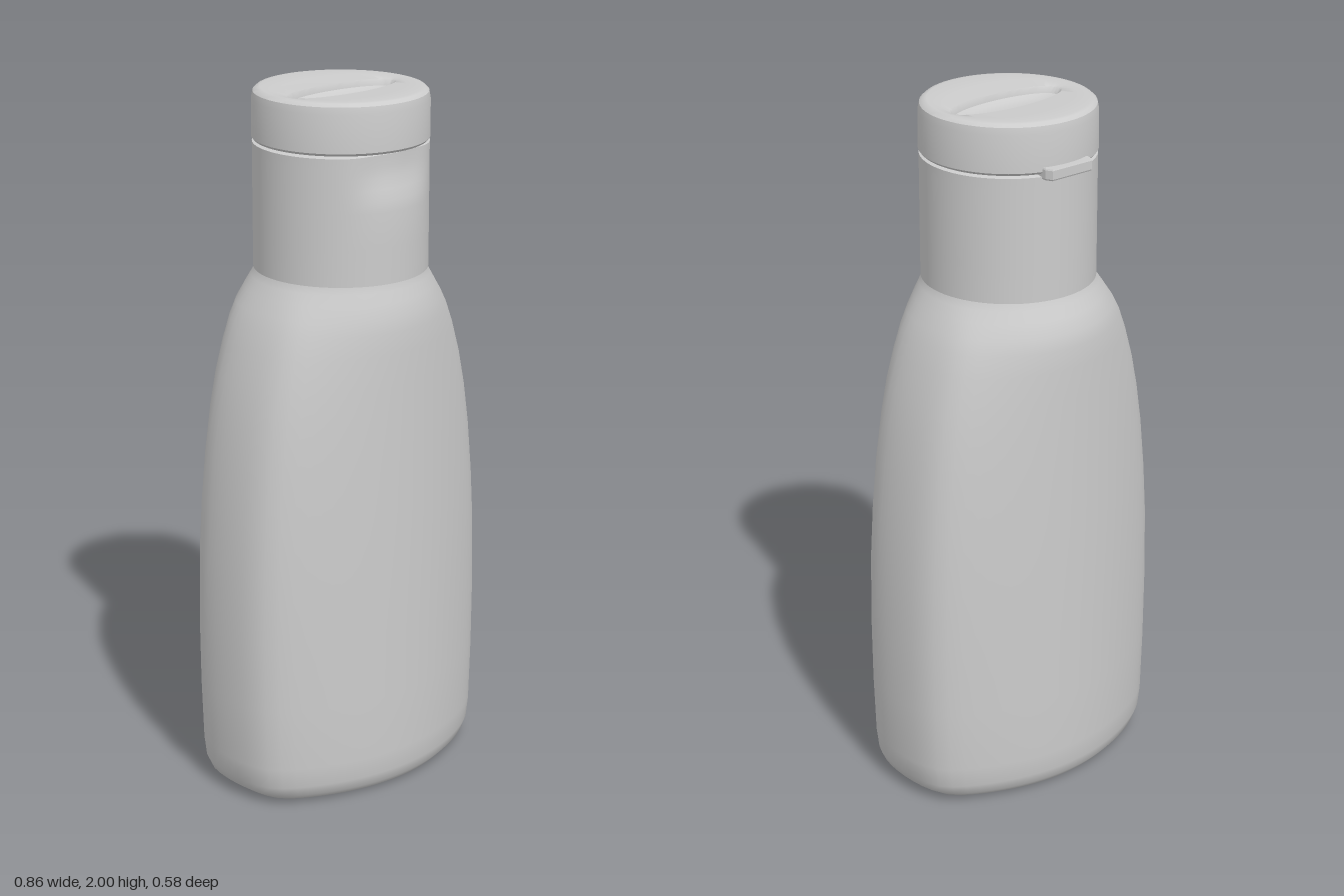
import * as THREE from 'three';
import { toCreasedNormals } from 'three/addons/utils/BufferGeometryUtils.js';

const SEG = 72;
const material = new THREE.MeshStandardMaterial({ color: 0xcccccc });

// Skin a stack of closed rings; each ring is a function of angle giving [x, y, z]
function loft(name, rings, crease) {
  const pos = [], index = [];
  rings.forEach((ring, j) => {
    for (let i = 0; i < SEG; i++) {
      pos.push(...ring((i / SEG) * Math.PI * 2));
      if (j === rings.length - 1) continue;
      const a = j * SEG + i, b = j * SEG + ((i + 1) % SEG);
      index.push(a, a + SEG, b, b, a + SEG, b + SEG);
    }
  });
  const g = new THREE.BufferGeometry();
  g.setAttribute('position', new THREE.Float32BufferAttribute(pos, 3));
  g.setIndex(index);
  const mesh = new THREE.Mesh(toCreasedNormals(g, crease), material);
  mesh.name = name;
  return mesh;
}

// Bottle section: bowed front, back and side faces meeting in soft corners, blended towards an ellipse
function section(y, w, d, round, cz = 0.003) {
  return (t) => {
    const c = Math.abs(Math.cos(t)), s = Math.abs(Math.sin(t));
    const face = 0.58 / (s + Math.sqrt(s * s + 0.93 * c * c));
    const side = 0.86 / (c + Math.sqrt(c * c + 1.6 * s * s));
    const r = Math.pow(face ** -22 + side ** -22, -1 / 22);
    const x = THREE.MathUtils.lerp((r * Math.cos(t)) / 0.43, Math.cos(t), round);
    const z = THREE.MathUtils.lerp((r * Math.sin(t)) / 0.29, Math.sin(t), round);
    return [x * w, y, z * d + cz];
  };
}

const CZ = 0.012; // centre of the neck and cap
const oval = (y, a, b = a, cx = 0, cz = CZ) => (t) => [cx + a * Math.cos(t), y, cz + b * Math.sin(t)];

// Cap sleeve ring with a thumb hollow at the front
function sleeveRing(y) {
  const deep = THREE.MathUtils.smoothstep(y, 1.7, 1.82);
  return (t) => {
    const off = (t - Math.PI / 2) / 0.5;
    const r = 0.243 - 0.024 * deep * Math.exp(-off * off * off * off);
    return [r * Math.cos(t), y, CZ + r * Math.sin(t)];
  };
}

export function createModel() {
  const model = new THREE.Group();
  model.name = 'squeezeBottle';

  // Body: recessed base, rounded heel, tapering sides and shoulder
  const profile = [
    // y, half width, half depth, roundness
    [0.045, 0.001, 0.001, 1], [0.04, 0.2, 0.13, 1], [0.03, 0.26, 0.175, 0.9], [0.006, 0.3, 0.205, 0.6],
    [0, 0.33, 0.235, 0.2], [0.012, 0.375, 0.262, 0], [0.03, 0.4, 0.277, 0], [0.06, 0.414, 0.285, 0],
    [0.12, 0.422, 0.288, 0], [0.3, 0.429, 0.288, 0], [0.5, 0.431, 0.288, 0], [0.7, 0.426, 0.288, 0],
    [0.85, 0.416, 0.287, 0.02], [1, 0.4, 0.286, 0.05], [1.12, 0.381, 0.285, 0.1], [1.22, 0.359, 0.284, 0.18],
    [1.31, 0.332, 0.283, 0.3], [1.37, 0.31, 0.281, 0.43], [1.41, 0.291, 0.275, 0.57], [1.45, 0.268, 0.26, 0.75],
    [1.48, 0.25, 0.246, 0.9], [1.5, 0.238, 0.238, 1], [1.52, 0.233, 0.233, 1],
  ];
  model.add(loft('body', profile.map(([y, w, d, k]) => section(y, w, d, k, y > 1.4 ? 0.003 + (y - 1.4) * 0.09 : 0.003)), 0.7));

  // Cap sleeve around the neck
  const sleeve = [oval(1.5, 0.225)];
  for (const y of [1.5, 1.6, 1.7, 1.73, 1.76, 1.79, 1.82, 1.852]) sleeve.push(sleeveRing(y));
  sleeve.push(oval(1.857, 0.215));
  model.add(loft('capSleeve', sleeve, 0.6));

  // Flip lid with a lens-shaped finger recess in its top
  const lens = (y, k) => oval(y, 0.185 * k, 0.065 * k, 0.004, 0.014);
  model.add(loft('flipLid', [
    oval(1.857, 0.21), oval(1.859, 0.239), oval(1.866, 0.245), oval(1.97, 0.244), oval(1.99, 0.24),
    oval(1.998, 0.231), oval(2, 0.22), oval(1.996, 0.2, 0.15), lens(1.992, 1.02), lens(1.99, 1),
    lens(1.974, 0.95), lens(1.966, 0.75), lens(1.962, 0.4), lens(1.961, 0.005),
  ], 0.6));

  // Hinge tab at the back
  const tab = new THREE.Shape([[-0.076, 0.2], [0.076, 0.2], [0.076, 0.232], [0.067, 0.249], [-0.067, 0.249], [-0.076, 0.232]]
    .map(([x, y]) => new THREE.Vector2(x, y)));
  const hinge = new THREE.Mesh(new THREE.ExtrudeGeometry(tab, {
    depth: 0.024, bevelThickness: 0.004, bevelSize: 0.002, bevelSegments: 1,
  }), material);
  hinge.name = 'hinge';
  hinge.rotation.x = -Math.PI / 2;
  hinge.position.y = 1.85;
  model.add(hinge);

  return model;
}
